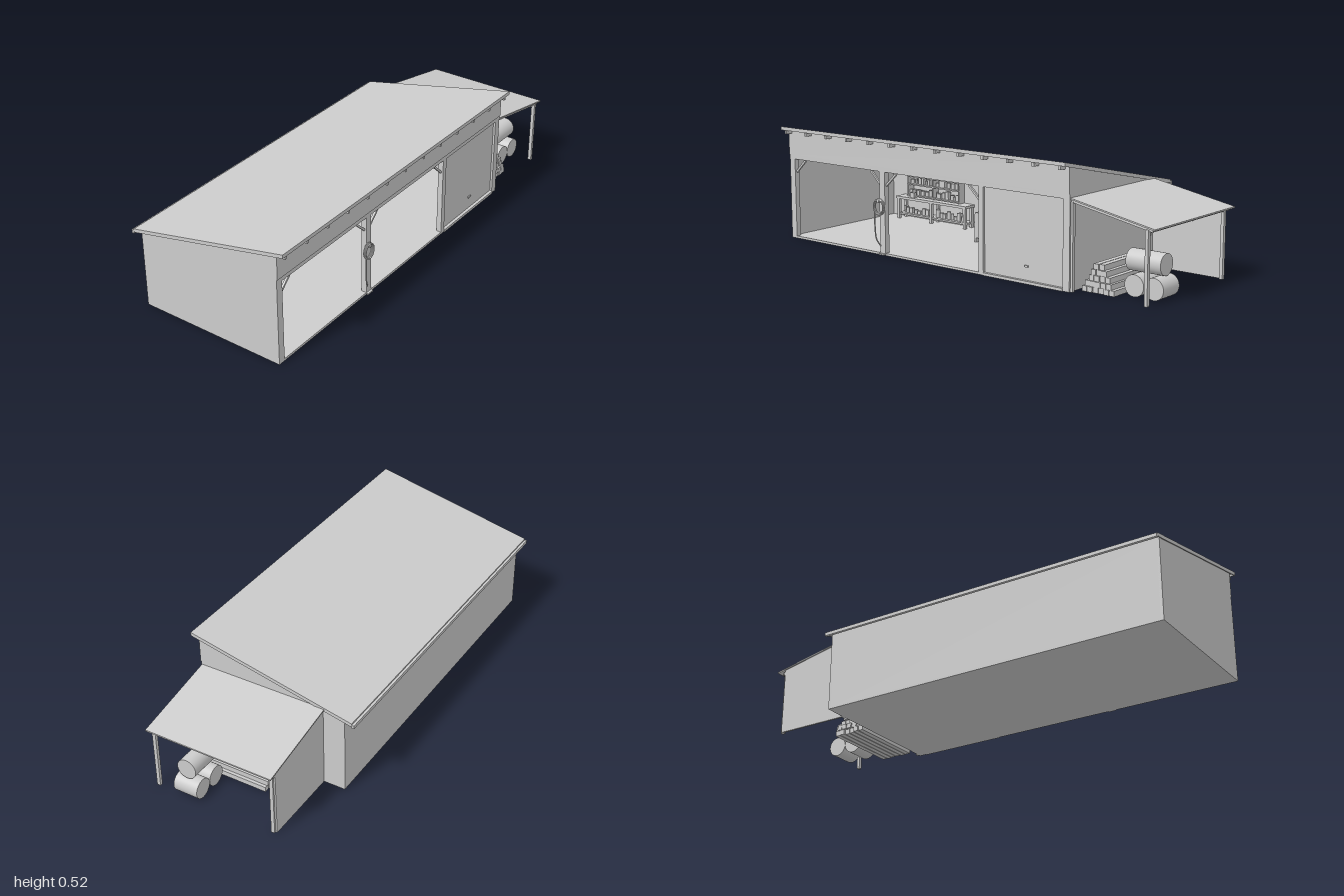
import * as THREE from 'three';

const grey = new THREE.MeshStandardMaterial({ color: 0xcccccc });
grey.name = 'plain grey';

export function createModel() {
  const model = new THREE.Group();
  let group = model;
  const section = (name) => {
    group = new THREE.Group();
    group.name = name;
    model.add(group);
  };
  const add = (name, geo) => {
    const m = new THREE.Mesh(geo, grey);
    m.name = name;
    group.add(m);
    return m;
  };
  // Box given by its limits
  const box = (name, x0, x1, y0, y1, z0, z1) => {
    const m = add(name, new THREE.BoxGeometry(x1 - x0, y1 - y0, z1 - z0));
    m.position.set((x0 + x1) / 2, (y0 + y1) / 2, (z0 + z1) / 2);
    return m;
  };
  const extrude = (pts, depth) => new THREE.ExtrudeGeometry(
    new THREE.Shape(pts.map((p) => new THREE.Vector2(...p))), { depth, bevelEnabled: false });
  // Side profile of [z, y] points drawn out along x
  const alongX = (name, pts, x0, x1) =>
    add(name, extrude(pts, x1 - x0).rotateY(-Math.PI / 2).translate(x1, 0, 0));
  // Front profile of [x, y] points drawn out along z
  const alongZ = (name, pts, z0, z1) => add(name, extrude(pts, z1 - z0).translate(0, 0, z0));
  // Square bar between two points
  const bar = (name, a, b, w) => {
    const p = new THREE.Vector3(...a), q = new THREE.Vector3(...b);
    const m = add(name, new THREE.BoxGeometry(w, w, p.distanceTo(q)));
    m.position.copy(p).add(q).multiplyScalar(0.5);
    m.lookAt(q);
    return m;
  };
  const cyl = (name, r, len, x, y, z, axis = 'y', seg = 32) => {
    const g = new THREE.CylinderGeometry(r, r, len, seg);
    if (axis === 'x') g.rotateZ(Math.PI / 2);
    if (axis === 'z') g.rotateX(Math.PI / 2);
    add(name, g).position.set(x, y, z);
  };
  let seed = 7;
  const rnd = () => (seed = (seed * 16807) % 2147483647) / 2147483647;

  // Shell of the main shed
  section('mainShed');
  const roofY = (z) => 0.521 + (z - 0.383) * 0.2215;
  const under = (z) => roofY(z) - 0.007;
  box('floor', -0.99, 0.61, 0, 0.01, -0.337, 0.342);
  box('backWall', -0.99, 0.61, 0, under(-0.337), -0.337, -0.325);
  const gable = [[-0.337, 0], [0.34, 0], [0.34, under(0.34)], [-0.337, under(-0.337)]];
  alongX('leftWall', gable, -0.99, -0.978);
  alongX('rightWall', gable, 0.598, 0.61);
  box('frontUpperWall', -0.99, 0.61, 0.39, 0.503, 0.33, 0.346);
  box('lintel', -0.99, 0.61, 0.37, 0.39, 0.322, 0.342);

  // Sloping roof, edge boards, rafter tails and gutters
  section('mainRoof');
  alongX('roofSheet', [[0.383, roofY(0.383)], [0.383, under(0.383)],
    [-0.37, under(-0.37)], [-0.37, roofY(-0.37)]], -1, 0.614);
  for (const x of [-1, 0.61]) {
    alongX('rakeBoard', [[0.383, roofY(0.383)], [0.383, roofY(0.383) - 0.016],
      [-0.365, roofY(-0.365) - 0.016], [-0.365, roofY(-0.365)]], x, x + 0.004);
  }
  box('frontFascia', -1, 0.614, 0.505, 0.518, 0.379, 0.383);
  for (let i = 0; i < 13; i++) {
    const x = -0.975 + i * 0.13;
    box('rafterTail', x - 0.006, x + 0.006, 0.488, 0.503, 0.345, 0.378);
  }
  box('rearGutter', -1, 0.614, 0.333, 0.348, -0.381, -0.369);
  box('rearFascia', -1, 0.614, 0.342, 0.351, -0.37, -0.36);

  // Posts, knee braces and the closed door bay
  section('frontFrame');
  const posts = [[-0.99, -0.958], [-0.42, -0.388], [0.145, 0.17], [0.577, 0.61]];
  for (const [a, b] of posts) box('post', a, b, 0.005, 0.372, 0.318, 0.342);
  for (const [x, s] of [[-0.958, 1], [-0.42, -1], [-0.388, 1], [0.145, -1]]) {
    bar('kneeBrace', [x, 0.31, 0.33], [x + s * 0.06, 0.367, 0.33], 0.009);
  }
  box('slidingDoor', 0.17, 0.577, 0.012, 0.371, 0.322, 0.332);
  box('doorHandle', 0.38, 0.398, 0.066, 0.074, 0.332, 0.337);
  box('doorSill', 0.17, 0.577, 0, 0.012, 0.32, 0.346);

  // Ceiling rails and lamps
  section('ceilingFittings');
  for (const [a, b, lamp] of [[-0.95, -0.43, -0.69], [-0.38, 0.14, -0.12]]) {
    box('rail', a, b, 0.353, 0.366, 0.0, 0.012);
    cyl('lampStem', 0.003, 0.03, lamp, 0.345, 0.006, 'y', 8);
    cyl('lamp', 0.008, 0.02, lamp, 0.335, 0.006, 'y', 16);
  }
  bar('crossBrace', [-0.385, 0.34, -0.322], [-0.12, 0.21, -0.322], 0.005);
  bar('crossBrace', [-0.385, 0.21, -0.318], [-0.12, 0.34, -0.318], 0.005);

  // Small tins and boxes lined up on a shelf
  const stock = (x0, x1, y, z, max) => {
    for (let x = x0; x < x1 - 0.018;) {
      const w = 0.01 + rnd() * 0.012, h = max * (0.45 + rnd() * 0.55);
      if (rnd() < 0.5) cyl('tin', w / 2, h, x + w / 2, y + h / 2, z, 'y', 12);
      else box('carton', x, x + w, y, y + h, z - 0.01, z + 0.01);
      x += w + 0.002 + rnd() * 0.008;
    }
  };

  // Workbench against the back wall
  section('workbench');
  box('benchTop', -0.895, -0.445, 0.108, 0.12, -0.323, -0.255);
  box('benchShelf', -0.89, -0.45, 0.03, 0.038, -0.323, -0.262);
  for (const x of [-0.89, -0.678, -0.464]) {
    for (const z of [-0.32, -0.272]) box('benchLeg', x, x + 0.014, 0.01, 0.108, z, z + 0.014);
  }
  stock(-0.87, -0.69, 0.038, -0.29, 0.035);
  stock(-0.66, -0.47, 0.038, -0.29, 0.04);
  box('vice', -0.81, -0.785, 0.12, 0.145, -0.285, -0.265);

  // Wall shelves with stock
  const shelves = (name, x0, x1, base, levels) => {
    section(name);
    const mid = (x0 + x1) / 2;
    for (const x of [x0, mid - 0.003, x1 - 0.006]) box('upright', x, x + 0.006, base, 0.295, -0.323, -0.283);
    for (const y of levels) {
      box('board', x0, x1, y - 0.006, y, -0.323, -0.28);
      stock(x0 + 0.01, mid - 0.005, y, -0.302, 0.034);
      stock(mid + 0.008, x1 - 0.005, y, -0.302, 0.04);
    }
  };
  shelves('leftShelves', -0.845, -0.51, 0.12, [0.13, 0.185, 0.225, 0.262]);
  shelves('rightShelves', -0.11, 0.11, 0.01, [0.04, 0.18, 0.22, 0.257]);

  // Free-standing things on the floor
  section('floorItems');
  for (const x of [0, 0.08]) cyl('drum', 0.032, 0.105, x, 0.0625, -0.235);
  box('cabinet', -0.345, -0.275, 0.01, 0.15, -0.322, -0.27);
  box('machineBody', -0.238, -0.162, 0.03, 0.14, -0.11, -0.08);
  for (const x of [-0.238, -0.17]) box('machineLeg', x, x + 0.008, 0.01, 0.03, -0.11, -0.08);
  box('machineTop', -0.232, -0.168, 0.14, 0.148, -0.112, -0.078);
  cyl('machineDial', 0.013, 0.02, -0.2, 0.15, -0.095, 'z', 20);

  // Coiled hose on the middle post
  section('hose');
  for (let i = 0; i < 3; i++) {
    const ring = add('hoseCoil', new THREE.TorusGeometry(0.028, 0.003, 8, 32));
    ring.scale.y = 1.2;
    ring.position.set(-0.415, 0.215, 0.346 + i * 0.005);
  }
  box('hoseHook', -0.42, -0.41, 0.235, 0.25, 0.34, 0.36);
  const path = new THREE.CatmullRomCurve3([[-0.44, 0.215, 0.354], [-0.438, 0.12, 0.354],
    [-0.432, 0.07, 0.352], [-0.415, 0.04, 0.344]].map((p) => new THREE.Vector3(...p)));
  add('hoseTail', new THREE.TubeGeometry(path, 24, 0.003, 8));
  box('hoseNozzle', -0.42, -0.385, 0.002, 0.008, 0.34, 0.352);

  // Lean-to on the side
  section('leanTo');
  const topY = (x) => 0.376 - (x - 0.61) * 0.187;
  const slope = (x0, x1, d0, d1) => [[x0, topY(x0) - d1], [x1, topY(x1) - d1],
    [x1, topY(x1) - d0], [x0, topY(x0) - d0]];
  alongZ('leanToRoof', slope(0.61, 1, 0, 0.006), -0.245, 0.34);
  for (const z of [0.322, 0.046, -0.224]) alongZ('rafter', slope(0.61, 0.985, 0.006, 0.018), z, z + 0.009);
  box('eaveBeam', 0.953, 0.969, 0.283, 0.297, -0.238, 0.335);
  for (const [a, b] of [[0.319, 0.335], [-0.232, -0.216]]) {
    box('leanToPost', 0.954, 0.968, 0, 0.285, a, b);
    box('wallPost', 0.61, 0.62, 0, 0.36, a, b);
  }
  alongZ('leanToBackWall', [[0.61, 0], [0.96, 0], [0.96, topY(0.96) - 0.006], [0.61, topY(0.61) - 0.006]],
    -0.239, -0.231);

  // Stacked timber
  section('timberStack');
  [[0.632, 6], [0.645, 5], [0.662, 4], [0.672, 3], [0.684, 2]].forEach(([x0, n], row) => {
    for (let i = 0; i < n; i++) {
      const x = x0 + i * 0.026, y = row * 0.0237, j = rnd() * 0.02;
      box('timber', x, x + 0.023, y, y + 0.0225, -0.075 + j, 0.29 - j / 2);
    }
  });

  // Barrels lying on their sides
  section('barrels');
  for (const x of [0.845, 0.935]) cyl('lowerBarrel', 0.0445, 0.112, x, 0.045, 0.184, 'z', 48);
  cyl('upperBarrel', 0.0445, 0.16, 0.877, 0.136, 0.186, 'x', 48);

  return model;
}
